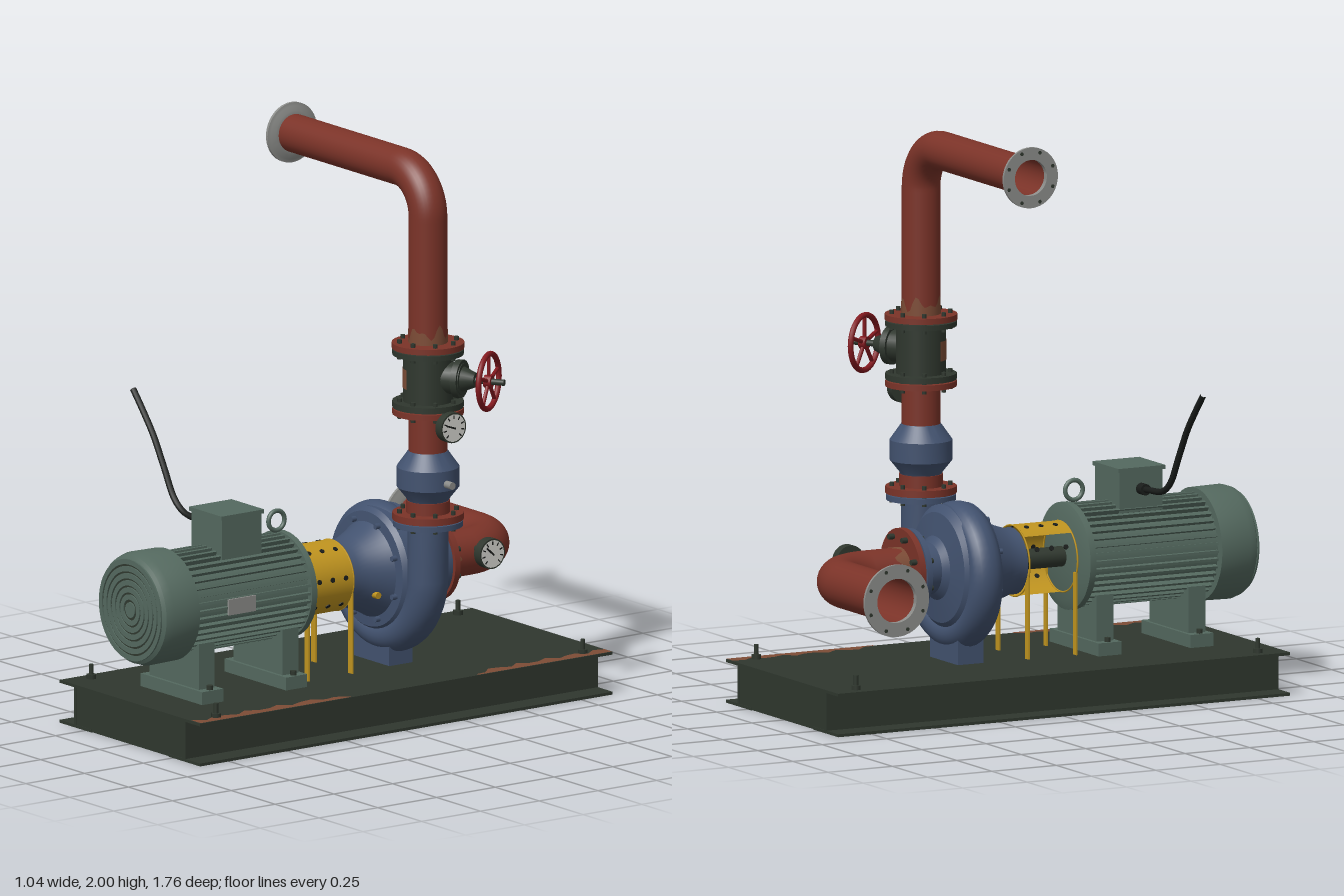
import * as THREE from 'three';
import { toCreasedNormals } from 'three/addons/utils/BufferGeometryUtils.js';

const V = (x, y, z) => new THREE.Vector3(x, y, z);
const X = V(1, 0, 0), Y = V(0, 1, 0), Z = V(0, 0, 1);
const mat = (name, color, side = THREE.FrontSide) => {
  const m = new THREE.MeshStandardMaterial({ color, side });
  m.name = name;
  return m;
};

export function createModel() {
  const D = THREE.DoubleSide;
  const motorGreen = mat('motor green', 0x54695f), red = mat('pipe red', 0x7b3328, D);
  const blue = mat('pump blue', 0x42526f, D), dark = mat('base dark green', 0x2f372e);
  const yellow = mat('guard yellow', 0xc0941f, D), grey = mat('flange grey', 0x8c8d8a);
  const rust = mat('rust', 0x7d4c36, D), white = mat('dial white', 0xd4d4ce);
  const wheelRed = mat('wheel red', 0x84191f), black = mat('black', 0x1a1d1b);

  const model = new THREE.Group();
  const AX = 0.018, AY = 0.475;           // shaft axis
  const RX = 0.272, RZ = -0.195;          // discharge riser axis

  const add = (name, geo, m, pos = V(0, 0, 0), dir = null, parent = model) => {
    const mesh = new THREE.Mesh(geo, m);
    mesh.name = name;
    mesh.position.copy(pos);
    if (dir) mesh.quaternion.setFromUnitVectors(Y, dir);
    parent.add(mesh);
    return mesh;
  };
  const box = (name, m, w, h, d, x, y, z, parent) =>
    add(name, new THREE.BoxGeometry(w, h, d), m, V(x, y, z), null, parent);
  // Cylinder from a point along a direction
  const rod = (name, m, r, len, from, dir, seg = 32, r2 = r, parent = model) =>
    add(name, new THREE.CylinderGeometry(r2, r, len, seg), m,
      from.clone().addScaledVector(dir, len / 2), dir, parent);
  const lathe = (name, m, pts, pos, dir) => add(name, toCreasedNormals(
    new THREE.LatheGeometry(pts.map(p => new THREE.Vector2(...p)), 48), 0.5), m, pos, dir);
  // Bolts spread round an axis
  const boltRing = (m, n, R, r, len, from, dir) => {
    const q = new THREE.Quaternion().setFromUnitVectors(Y, dir);
    for (let i = 0; i < n; i++) {
      const a = (i + 0.5) / n * Math.PI * 2;
      rod('bolt', m, r, len, V(Math.cos(a) * R, 0, Math.sin(a) * R).applyQuaternion(q).add(from), dir, 6);
    }
  };

  // Base frame: top plate, side beams, end and middle members
  box('basePlate', dark, 0.8, 0.01, 1.755, 0.005, 0.145, -0.003);
  for (const s of [-1, 1]) {
    const x = 0.005 + s * 0.31;
    box('beamWeb', dark, 0.014, 0.14, 1.755, x, 0.07, -0.003);
    box('beamFlange', dark, 0.18, 0.01, 1.755, 0.005 + s * 0.31, 0.005, -0.003);
    box('endWeb', dark, 0.61, 0.13, 0.014, 0.005, 0.075, -0.003 + s * 0.868);
    box('endFlange', dark, 0.61, 0.01, 0.1, 0.005, 0.006, -0.003 + s * 0.825);
    for (const z of [-0.785, 0.775]) {
      rod('anchorWasher', dark, 0.018, 0.015, V(0.008 + s * 0.355, 0.15, z), Y, 6);
      rod('anchorBolt', dark, 0.008, 0.05, V(0.008 + s * 0.355, 0.15, z), Y, 10);
    }
  }
  box('middleWeb', dark, 0.61, 0.13, 0.014, 0.005, 0.075, 0);
  box('middleFlange', dark, 0.61, 0.01, 0.1, 0.005, 0.006, 0);

  // Worn rust along one edge of the plate
  for (const [z0, z1] of [[-0.878, -0.31], [0.23, 0.872]]) {
    const s = new THREE.Shape();
    s.moveTo(0.405, -z0);
    for (let i = 0; i <= 14; i++) {
      const t = i / 14, w = (0.042 + 0.017 * Math.sin(i * 2.3)) * Math.min(1, 6 * (z0 < 0 ? 1 - t : t) + 0.2);
      s.lineTo(0.405 - w, -(z0 + (z1 - z0) * t));
    }
    s.lineTo(0.405, -z1);
    add('plateRust', new THREE.ShapeGeometry(s), rust, V(0, 0.1515, 0)).rotation.x = -Math.PI / 2;
  }

  // Motor body with cooling fins
  rod('motorBody', motorGreen, 0.163, 0.51, V(AX, AY, 0.23), Z, 48);
  for (let i = 0; i < 40; i++) {
    const a = i / 40 * Math.PI * 2;
    box('fin', motorGreen, 0.022, 0.009, 0.48, AX + Math.cos(a) * 0.169, AY + Math.sin(a) * 0.169, 0.485)
      .rotation.z = a;
  }
  lathe('motorEndBell', motorGreen, [[0, 0], [0.15, 0], [0.185, 0.012], [0.185, 0.035], [0, 0.035]], V(AX, AY, 0.212), Z);
  lathe('fanCowl', motorGreen, [[0.16, 0], [0.195, 0], [0.197, 0.11], [0.188, 0.138], [0.172, 0.148], [0, 0.148]],
    V(AX, AY, 0.73), Z);
  add('grilleBack', new THREE.CircleGeometry(0.165, 48), dark, V(AX, AY, 0.8795));
  for (let i = 0; i < 6; i++) {
    const r = 0.036 + i * 0.0245;
    lathe('grilleRing', motorGreen, [[r, 0], [r + 0.018, 0], [r + 0.018, 0.006], [r, 0.006], [r, 0]], V(AX, AY, 0.878), Z);
  }
  rod('grilleHub', motorGreen, 0.027, 0.006, V(AX, AY, 0.878), Z);
  for (const z of [0.662, 0.305]) {
    box('motorLeg', motorGreen, 0.28, 0.16, 0.066, AX, 0.275, z);
    box('motorPad', motorGreen, 0.35, 0.045, 0.09, AX, 0.1725, z);
    for (const s of [-1, 1]) rod('footBolt', dark, 0.012, 0.015, V(AX + s * 0.157, 0.195, z), Y, 6);
  }
  box('terminalBox', motorGreen, 0.172, 0.14, 0.168, AX + 0.003, 0.69, 0.475);
  box('terminalLid', motorGreen, 0.186, 0.014, 0.182, AX + 0.003, 0.768, 0.475);
  box('namePlate', grey, 0.008, 0.055, 0.115, AX + 0.181, AY + 0.003, 0.543);
  add('liftingEye', new THREE.TorusGeometry(0.034, 0.008, 10, 28), motorGreen, V(AX, 0.7, 0.26)).rotation.y = Math.PI / 2;

  // Power cable
  const cable = new THREE.CatmullRomCurve3([V(-0.06, 0.7, 0.475), V(-0.13, 0.703, 0.475), V(-0.22, 0.713, 0.475),
    V(-0.275, 0.75, 0.475), V(-0.335, 0.85, 0.475), V(-0.395, 0.95, 0.475), V(-0.45, 1.02, 0.475), V(-0.51, 1.09, 0.475)]);
  add('cable', new THREE.TubeGeometry(cable, 50, 0.011, 10), black);
  rod('cableGland', black, 0.02, 0.035, V(-0.065, 0.7, 0.475), V(-1, 0, 0), 12);

  // Coupling guard, open on one side, with perforations and legs
  add('couplingGuard', new THREE.CylinderGeometry(0.123, 0.123, 0.19, 40, 1, true, 0, Math.PI + 0.71), yellow,
    V(AX, AY, 0.115)).rotation.x = Math.PI / 2;
  rod('shaft', dark, 0.035, 0.25, V(AX, AY, 0), Z, 24);
  for (const z of [0.022, 0.208]) {
    add('guardRim', new THREE.TorusGeometry(0.122, 0.003, 6, 40), yellow, V(AX, AY, z));
    for (const s of [-1, 1]) box('guardLeg', yellow, 0.024, 0.29, 0.006, AX + s * 0.105, 0.29, z);
  }
  for (const deg of [-40, 8, 60, 107, 155]) for (const z of [0.056, 0.112, 0.168]) {
    const a = deg * Math.PI / 180, d = V(Math.cos(a), Math.sin(a), 0);
    rod('guardHole', black, 0.009, 0.004, V(AX, AY, z).addScaledVector(d, 0.1215), d, 10);
  }

  // Pump casing, running from the suction flange to the bearing end
  lathe('pumpCasing', blue, [[0, -0.385], [0.143, -0.385], [0.143, -0.364], [0.088, -0.364], [0.088, -0.3], [0.11, -0.28],
    [0.19, -0.268], [0.215, -0.245], [0.215, -0.145], [0.2, -0.128], [0.165, -0.125], [0.15, -0.1], [0.128, -0.05],
    [0.115, -0.01], [0.115, 0.02], [0, 0.02]], V(AX, AY, 0), Z);
  boltRing(blue, 8, 0.176, 0.01, 0.02, V(AX, AY, -0.128), Z);
  rod('oilPlug', yellow, 0.012, 0.04, V(AX + 0.1, AY - 0.06, -0.07), X, 10);

  // Spiral volute: elliptical sections growing round the casing, then rising to the outlet
  const pos = [], idx = [], N = 20, S = 44;
  for (let i = 0; i <= S; i++) {
    const t = Math.min(1, i / (S - 1)), a = (60 + 300 * t) * Math.PI / 180;
    const mr = 0.04 + 0.028 * t, mz = 0.055 + 0.015 * t, R = 0.215 + 0.107 * t - mr;
    for (let j = 0; j < N; j++) {
      const p = j / N * Math.PI * 2, r = R + mr * Math.cos(p);
      pos.push(AX + Math.cos(a) * r, AY + Math.sin(a) * r + (i === S ? 0.21 : 0), RZ + mz * Math.sin(p));
      if (i < S) {
        const b = i * N + j, c = i * N + (j + 1) % N;
        idx.push(b, b + N, c, c, b + N, c + N);
      }
    }
  }
  const vol = new THREE.BufferGeometry();
  vol.setAttribute('position', new THREE.Float32BufferAttribute(pos, 3));
  vol.setIndex(idx);
  vol.computeVertexNormals();
  add('volute', vol, blue);
  box('pumpFoot', blue, 0.2, 0.1, 0.1, AX, 0.2, RZ);

  // Pipes with one elbow, and a flange on the free end
  const pipe = (name, r, a, corner, b, R) => {
    const u = a.clone().sub(corner).normalize(), v = b.clone().sub(corner).normalize();
    const at = (d, k) => corner.clone().addScaledVector(d, k);
    const path = new THREE.CurvePath();
    path.add(new THREE.LineCurve3(a, at(u, R)));
    path.add(new THREE.CubicBezierCurve3(at(u, R), at(u, R * 0.448), at(v, R * 0.448), at(v, R)));
    path.add(new THREE.LineCurve3(at(v, R), b));
    add(name, new THREE.TubeGeometry(path, 90, r, 32), red);
  };
  const endFlange = (r, R, p) => {
    lathe('endFlange', grey, [[r * 0.94, 0], [r + 0.012, 0], [R - 0.012, 0.008], [R, 0.01], [R, 0.02], [r * 0.94, 0.02], [r * 0.94, 0]],
      p, V(-1, 0, 0));
    boltRing(dark, 8, (r + R) / 2 + 0.006, 0.007, 0.003, p.clone().add(V(-0.018, 0, 0)), V(-1, 0, 0));
  };
  pipe('suctionPipe', 0.081, V(AX, AY, -0.4), V(AX, AY, -0.715), V(-0.505, AY, -0.715), 0.17);
  endFlange(0.081, 0.125, V(-0.49, AY, -0.715));
  pipe('dischargePipe', 0.066, V(RX, 1.3, RZ), V(RX, 1.895, RZ), V(-0.505, 1.895, RZ), 0.15);
  endFlange(0.066, 0.105, V(-0.49, 1.895, RZ));

  // Ragged rust sleeves beside the flanges
  const sleeve = (r, h, p, dir) => {
    const g = new THREE.CylinderGeometry(r, r, h, 40, 1, true), q = g.attributes.position;
    for (let i = 0; i < q.count; i++) if (q.getY(i) > 0) {
      const a = Math.atan2(q.getX(i), q.getZ(i));
      q.setY(i, h * (0.1 + 0.22 * Math.sin(a * 5) + 0.18 * Math.cos(a * 8)));
    }
    add('pipeRust', g, rust, p.clone().addScaledVector(dir, h / 2), dir);
  };
  sleeve(0.0675, 0.075, V(RX, 1.305, RZ), Y);
  sleeve(0.0825, 0.06, V(AX, AY, -0.41), V(0, 0, -1));

  // Suction joint
  rod('suctionFlange', red, 0.147, 0.022, V(AX, AY, -0.392), V(0, 0, -1), 40);
  boltRing(dark, 8, 0.122, 0.01, 0.085, V(AX, AY, -0.435), Z);

  // Discharge stack: flanges, check valve, spool and gate valve
  const stack = (name, m, r, y0, y1) => rod(name, m, r, y1 - y0, V(RX, y0, RZ), Y, 40);
  stack('pumpOutletFlange', blue, 0.12, 0.668, 0.687);
  stack('lowerFlange', red, 0.122, 0.691, 0.715);
  stack('lowerNeck', red, 0.075, 0.71, 0.757);
  lathe('checkValve', blue, [[0, 0.755], [0.07, 0.755], [0.075, 0.765], [0.107, 0.805], [0.107, 0.875], [0.075, 0.92],
    [0.068, 0.93], [0, 0.93]], V(RX, 0, RZ));
  rod('checkValveStub', grey, 0.013, 0.06, V(RX + 0.08, 0.83, RZ), X, 12);
  stack('spool', red, 0.066, 0.925, 1.065);
  stack('spoolFlange', red, 0.122, 1.06, 1.08);
  stack('valveLowerFlange', dark, 0.122, 1.084, 1.105);
  stack('valveBody', dark, 0.086, 1.1, 1.275);
  stack('valveUpperFlange', dark, 0.122, 1.268, 1.286);
  stack('riserFlange', red, 0.124, 1.29, 1.31);
  for (const [y, h] of [[0.658, 0.07], [1.047, 0.07], [1.255, 0.068]]) boltRing(dark, 8, 0.1, 0.009, h, V(RX, y, RZ), Y);
  add('valveRust', new THREE.CylinderGeometry(0.0872, 0.0872, 0.068, 12, 1, true, -1.2, 1.12), rust, V(RX, 1.186, RZ));

  // Valve bonnet, stem and handwheel
  const wd = V(0.85, 0, -0.527).normalize(), vc = V(RX, 1.19, RZ);
  const along = k => vc.clone().addScaledVector(wd, k);
  rod('bonnet', dark, 0.055, 0.07, along(0.06), wd, 24);
  rod('bonnetFlange', dark, 0.066, 0.022, along(0.105), wd, 24);
  rod('bonnetNeck', dark, 0.045, 0.05, along(0.125), wd, 24, 0.025);
  rod('valveStem', dark, 0.011, 0.13, along(0.15), wd, 12);
  const wheel = new THREE.Group();
  wheel.name = 'handwheel';
  wheel.position.copy(along(0.222));
  wheel.quaternion.setFromUnitVectors(Z, wd);
  model.add(wheel);
  add('wheelRim', new THREE.TorusGeometry(0.095, 0.01, 10, 40), wheelRed, V(0, 0, 0), null, wheel);
  rod('wheelHub', wheelRed, 0.022, 0.026, V(0, 0, -0.013), Z, 16, 0.022, wheel);
  for (let i = 0; i < 5; i++) {
    const a = Math.PI / 2 + i / 5 * Math.PI * 2;
    rod('wheelSpoke', wheelRed, 0.007, 0.095, V(0, 0, 0), V(Math.cos(a), Math.sin(a), 0), 8, 0.007, wheel);
  }

  // Pressure gauges facing sideways
  const gauge = (p, stem, needle) => {
    const g = new THREE.Group();
    g.name = 'pressureGauge';
    g.position.copy(p);
    g.rotation.y = Math.PI / 2;
    model.add(g);
    rod('gaugeCase', dark, 0.053, 0.034, V(0, 0, -0.034), Z, 32, 0.053, g);
    rod('gaugeStem', dark, 0.012, stem, V(0, 0, -0.03 - stem), Z, 12, 0.012, g);
    add('gaugeDial', new THREE.CircleGeometry(0.048, 32), white, V(0, 0, 0.001), null, g);
    for (let i = 0; i < 9; i++) {
      const a = (-45 + i * 33.75) * Math.PI / 180;
      box('gaugeTick', black, 0.012, 0.004, 0.002, Math.cos(a) * 0.038, Math.sin(a) * 0.038, 0.002, g).rotation.z = a;
    }
    box('gaugeNeedle', black, 0.042, 0.006, 0.002, Math.cos(needle) * 0.014, Math.sin(needle) * 0.014, 0.003, g).rotation.z = needle;
  };
  gauge(V(0.418, 1.035, RZ), 0.06, 2.8);
  gauge(V(0.184, 0.5, -0.535), 0.09, 2.4);

  return model;
}
